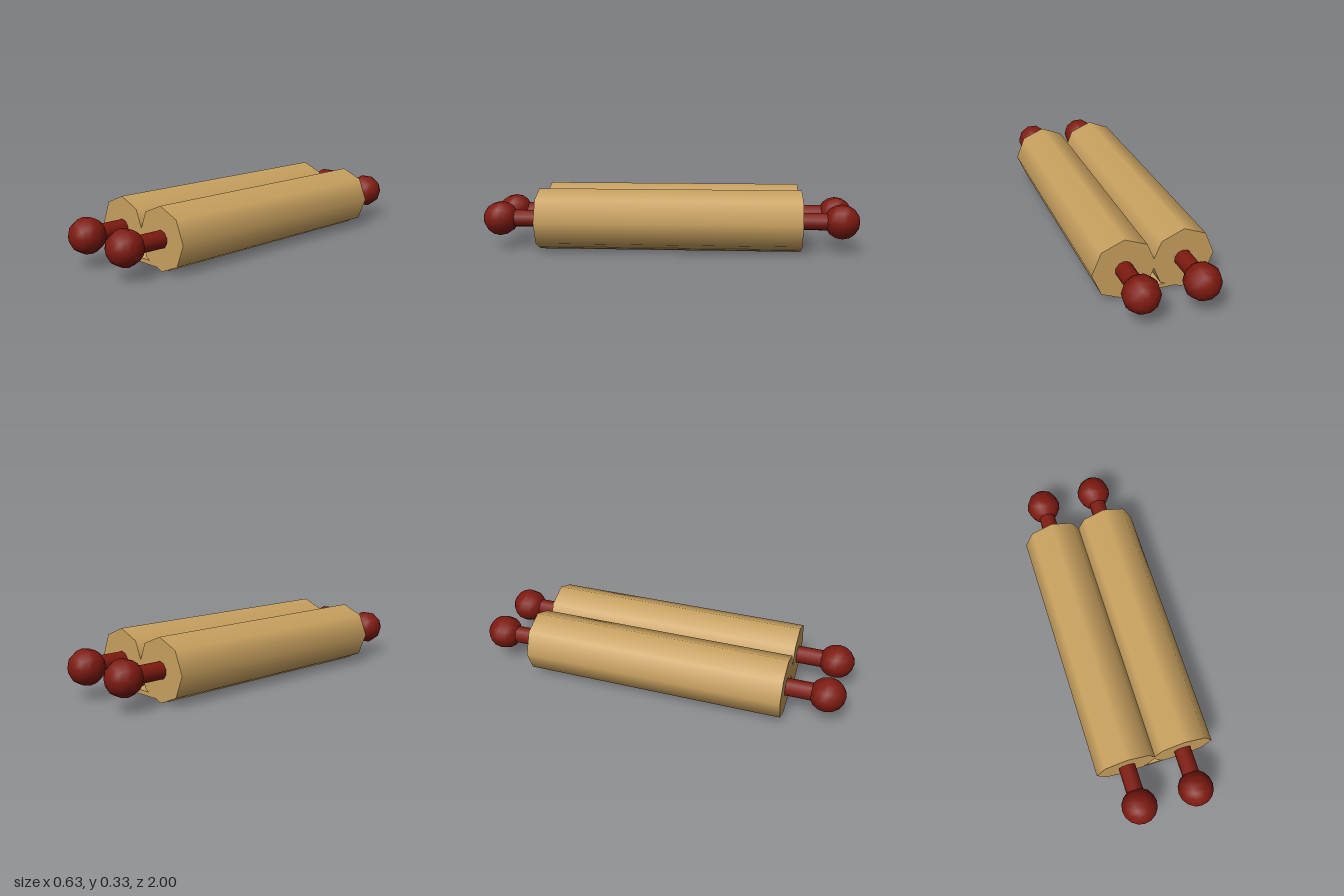
import * as THREE from 'three';

export function createModel() {
  const model = new THREE.Group();
  const paper = new THREE.MeshStandardMaterial({ color: 0xcaa260 });
  const wood = new THREE.MeshStandardMaterial({ color: 0x7e1a10 });
  const axisY = 0.163;

  const add = (name, geometry, material, x, y, z) => {
    const mesh = new THREE.Mesh(geometry, material);
    mesh.name = name;
    mesh.position.set(x, y, z);
    model.add(mesh);
  };

  // shared shapes, turned so their axes run along z
  const roll = new THREE.CylinderGeometry(0.163, 0.163, 1.39, 8).rotateX(Math.PI / 2);
  const rod = new THREE.CylinderGeometry(0.046, 0.046, 1.8, 10).rotateX(Math.PI / 2);
  const knob = new THREE.SphereGeometry(0.093, 10, 8).rotateX(Math.PI / 2);

  // two paper rolls, each on a rod with a knob at both ends
  for (const side of [1, -1]) {
    const label = side > 0 ? 'left' : 'right';
    const x = side * 0.152;
    add(label + 'PaperRoll', roll, paper, x, axisY, 0);
    add(label + 'Rod', rod, wood, x, axisY, 0);
    add(label + 'FrontKnob', knob, wood, x, axisY, 0.907);
    add(label + 'BackKnob', knob, wood, x, axisY, -0.907);
  }

  // flat sheet joining the rolls underneath
  add('paperSheet', new THREE.BoxGeometry(0.398, 0.022, 1.39), paper, 0, 0.026, 0);

  return model;
}
